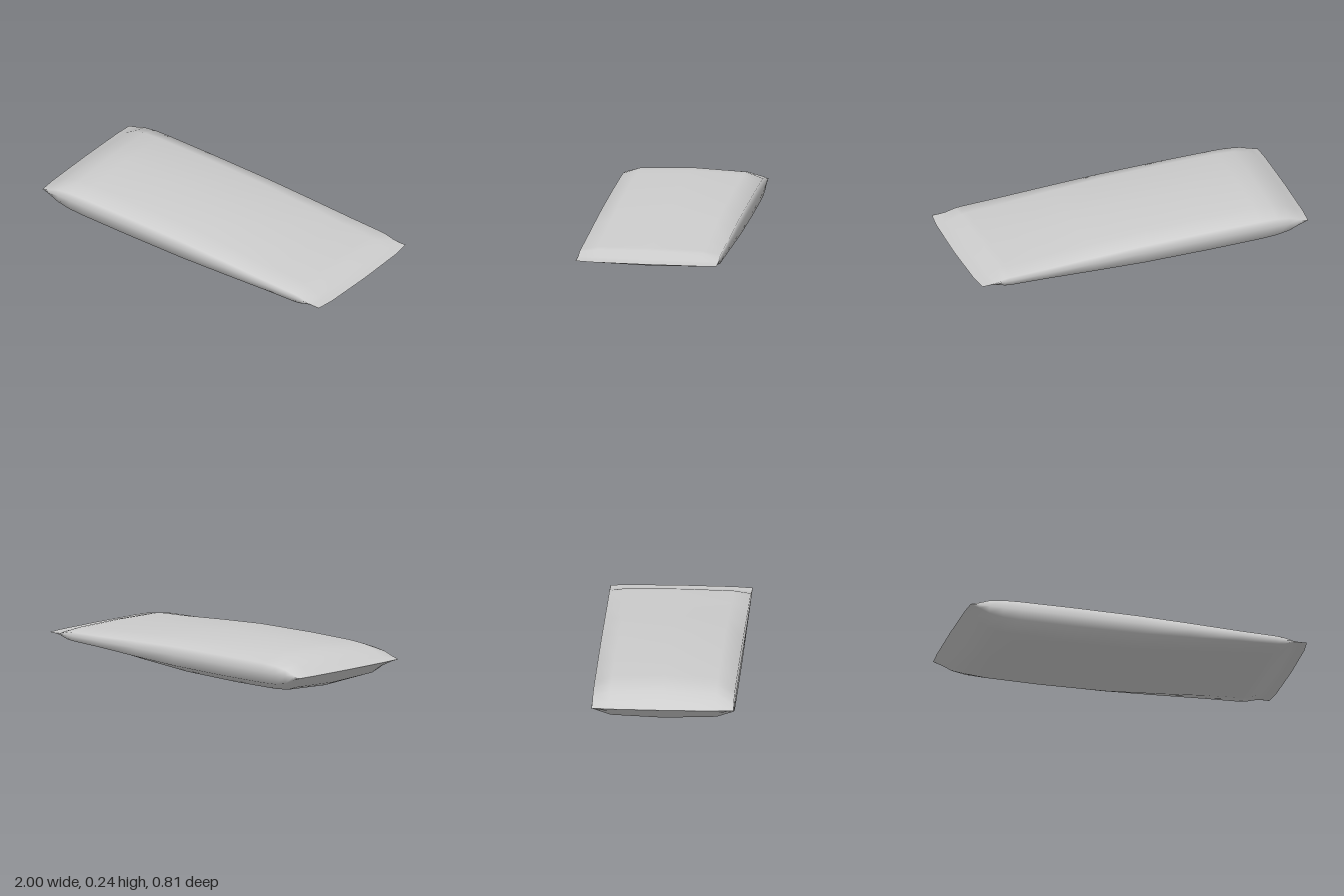
import * as THREE from 'three';

// Stations along the length: [x, half thickness at the middle]
const stations = [
  [-1, 0], [-0.95, 0.033], [-0.88, 0.08], [-0.8, 0.107], [-0.7, 0.115], [-0.4, 0.118],
  [0, 0.111], [0.3, 0.089], [0.6, 0.063], [0.8, 0.051], [0.84, 0.043], [0.92, 0.01], [0.95, 0.003], [1, 0],
];
const midY = 0.121 + 0.013;

// Upper half of the cross-section: [z, share of the half thickness]
const upper = [[0.403, 0], [0.4, 0.49], [0.3, 0.87], [0, 1], [-0.3, 0.87], [-0.4, 0.49]];

export function createModel() {
  const group = new THREE.Group();

  // Full ring: over the top towards -z, then back underneath
  const ring = [...upper, ...upper.map(([z, h]) => [-z, -h])];
  const n = ring.length;
  const positions = [];
  const indices = [];

  stations.forEach(([x, half], i) => {
    for (const [z, h] of ring) {
      // The ends are slightly rounded in plan
      const inset = Math.abs(x) > 0.9 ? (x > 0 ? 0.02 : 0.011) * Math.pow(Math.abs(z) / 0.4, 4) : 0;
      const y = midY + half * h * (h < 0 ? 1.11 : 0.89);
      positions.push(x - Math.sign(x) * inset, y, z);
    }
    if (i === 0) return;
    for (let j = 0; j < n; j++) {
      const k = (j + 1) % n;
      const a = (i - 1) * n, b = i * n;
      indices.push(a + j, b + j, b + k, a + j, b + k, a + k);
    }
  });

  const geometry = new THREE.BufferGeometry();
  geometry.setAttribute('position', new THREE.Float32BufferAttribute(positions, 3));
  geometry.setIndex(indices);
  geometry.computeVertexNormals();

  // Padded body tapering to pinched end seams
  const body = new THREE.Mesh(geometry, new THREE.MeshStandardMaterial({ color: 0xcccccc }));
  body.name = 'paddedBody';
  group.add(body);
  return group;
}
